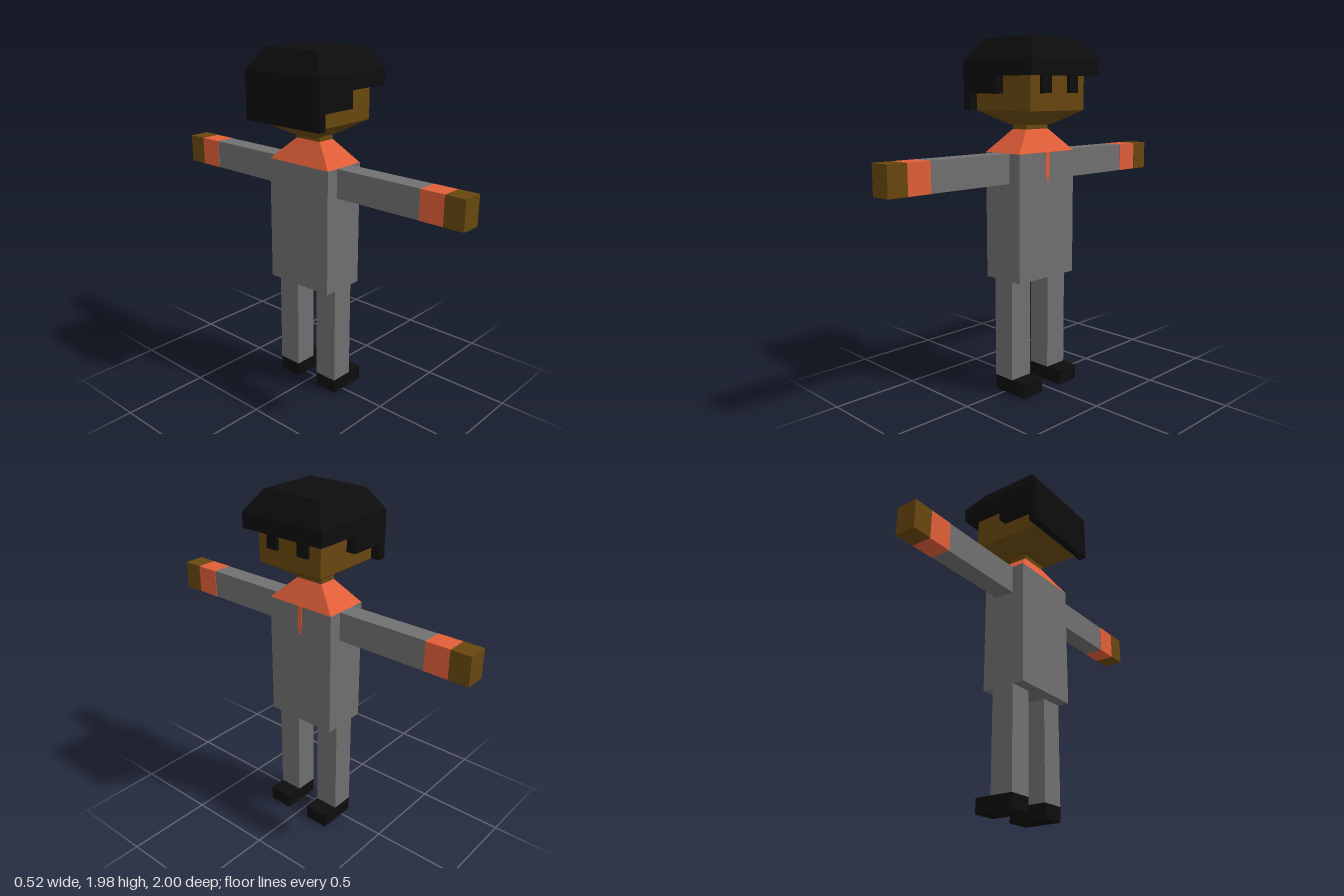
import * as THREE from 'three';

const mat = (name, color) => {
  const m = new THREE.MeshStandardMaterial({ color });
  m.name = name;
  return m;
};

export function createModel() {
  const model = new THREE.Group();
  model.name = 'blockyPerson';
  const grey = mat('greyCloth', 0x707070);
  const orange = mat('orangeShirt', 0xe05e38);
  const skin = mat('brownSkin', 0x68470f);
  const black = mat('black', 0x0d0d0d);

  const add = (name, geometry, material) => {
    const mesh = new THREE.Mesh(geometry, material);
    mesh.name = name;
    model.add(mesh);
  };

  // Box from its limits on each axis
  const block = (name, material, [x0, x1], [y0, y1], [z0, z1]) => {
    const g = new THREE.BoxGeometry(x1 - x0, y1 - y0, z1 - z0);
    g.translate((x0 + x1) / 2, (y0 + y1) / 2, (z0 + z1) / 2);
    add(name, g, material);
  };

  // Box whose bottom and top are different rectangles: [x0, x1, half depth]
  const taper = (name, material, [y0, y1], bottom, top) => {
    const g = new THREE.BoxGeometry(1, 1, 1);
    const p = g.attributes.position;
    for (let i = 0; i < p.count; i++) {
      const [x0, x1, d] = p.getY(i) > 0 ? top : bottom;
      p.setXYZ(i, p.getX(i) > 0 ? x1 : x0, p.getY(i) > 0 ? y1 : y0, p.getZ(i) > 0 ? d : -d);
    }
    g.computeVertexNormals();
    add(name, g, material);
  };

  // Body, collar and neck
  block('torso', grey, [-0.14, 0.123], [0.655, 1.363], [-0.215, 0.215]);
  taper('collar', orange, [1.363, 1.487], [-0.14, 0.123, 0.215], [-0.06, 0.045, 0.085]);
  block('neck', skin, [-0.06, 0.045], [1.48, 1.53], [-0.085, 0.085]);

  // Thin tie on the chest
  const tie = new THREE.Shape([[-0.014, 1.363], [-0.016, 1.26], [-0.005, 1.2],
    [0.005, 1.2], [0.016, 1.26], [0.014, 1.363]].map(([x, y]) => new THREE.Vector2(x, y)));
  const tieGeometry = new THREE.ExtrudeGeometry(tie, { depth: 0.004, bevelEnabled: false });
  tieGeometry.rotateY(Math.PI / 2).translate(0.122, 0, 0);
  add('tie', tieGeometry, orange);

  // Head, with the jaw narrowing to the neck
  block('head', skin, [-0.22, 0.2], [1.59, 1.775], [-0.21, 0.21]);
  taper('jaw', skin, [1.512, 1.59], [-0.09, 0.075, 0.085], [-0.22, 0.2, 0.21]);

  // Hair
  taper('hairTop', black, [1.86, 1.978], [-0.262, 0.262, 0.265], [-0.183, 0.18, 0.183]);
  block('hairBand', black, [-0.262, 0.262], [1.775, 1.86], [-0.265, 0.265]);
  block('hairBack', black, [-0.262, -0.218], [1.59, 1.775], [-0.265, 0.265]);

  // Paired parts on both sides
  for (const side of [1, -1]) {
    const span = (a, b) => (side > 0 ? [a, b] : [-b, -a]);
    const tag = side > 0 ? 'A' : 'B';
    block('hairSide' + tag, black, [-0.218, -0.005], [1.68, 1.775], span(0.21, 0.265));
    block('eye' + tag, black, [0.2, 0.22], [1.683, 1.775], span(0.07, 0.138));
    block('sleeve' + tag, grey, [-0.066, 0.047], [1.2, 1.363], span(0.215, 0.745));
    block('cuff' + tag, orange, [-0.069, 0.05], [1.2, 1.363], span(0.745, 0.885));
    block('hand' + tag, skin, [-0.07, 0.052], [1.2, 1.363], span(0.885, 1));
    block('leg' + tag, grey, [-0.073, 0.06], [0.083, 0.655], span(0.073, 0.215));
    block('shoe' + tag, black, [-0.073, 0.157], [0, 0.083], span(0.073, 0.215));
  }
  return model;
}
